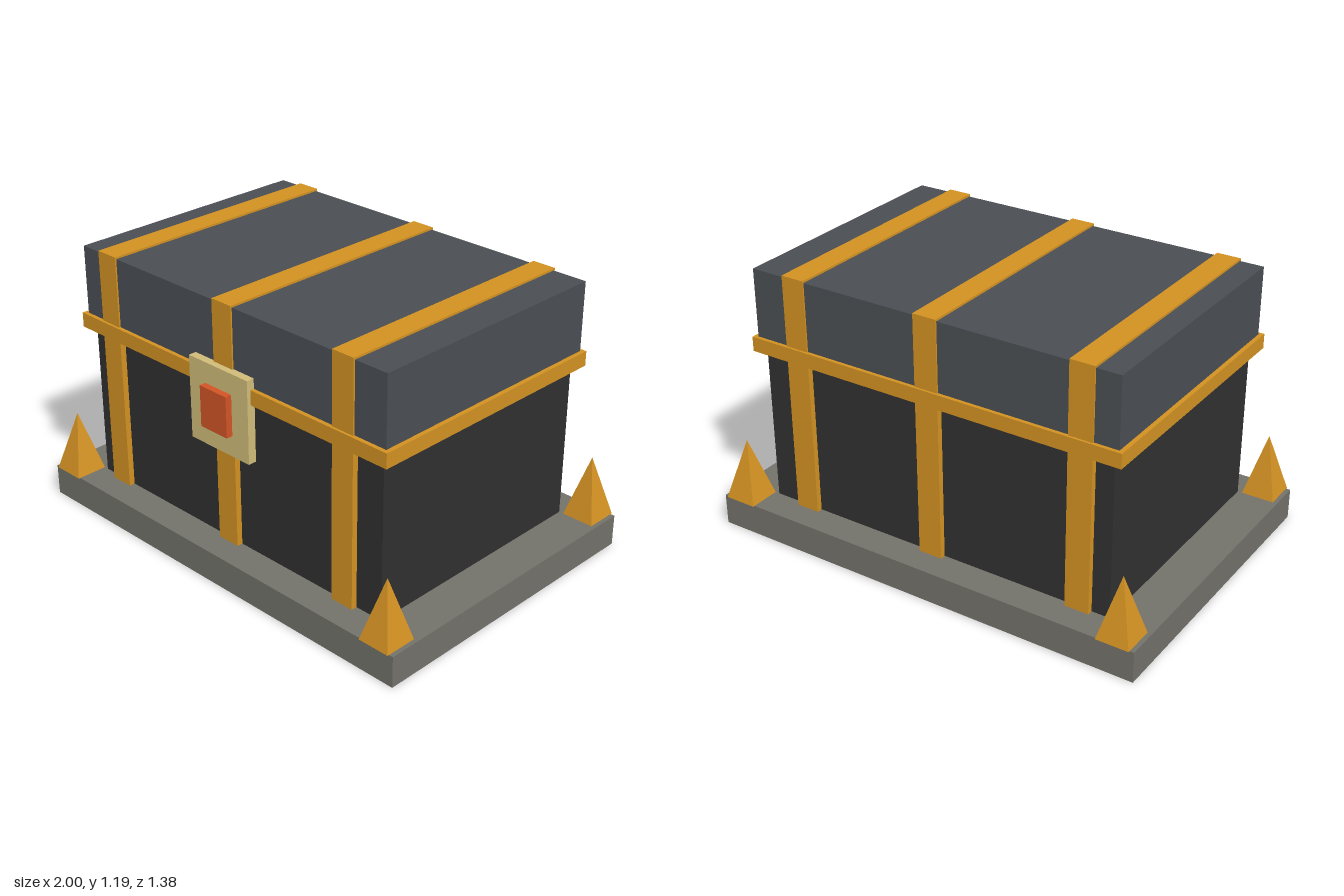
import * as THREE from 'three';

const mat = (name, color) => {
  const m = new THREE.MeshStandardMaterial({ color });
  m.name = name;
  return m;
};

export function createModel() {
  const stone = mat('grey stone', 0x72716a);
  const dark = mat('charcoal', 0x303030);
  const slate = mat('slate', 0x4a4e53);
  const gold = mat('gold', 0xd29122);
  const brass = mat('pale brass', 0xd0bb78);
  const red = mat('red', 0xd25426);

  const group = new THREE.Group();
  group.name = 'chest';

  // Box from its lower and upper corners
  const box = (name, material, [x0, y0, z0], [x1, y1, z1]) => {
    const mesh = new THREE.Mesh(new THREE.BoxGeometry(x1 - x0, y1 - y0, z1 - z0), material);
    mesh.position.set((x0 + x1) / 2, (y0 + y1) / 2, (z0 + z1) / 2);
    mesh.name = name;
    group.add(mesh);
  };

  // Plinth, body, lid and the rim between them
  box('base', stone, [-1, 0, -0.684], [1, 0.137, 0.684]);
  box('body', dark, [-0.817, 0.137, -0.548], [0.817, 0.85, 0.548]);
  box('lid', slate, [-0.843, 0.85, -0.567], [0.843, 1.183, 0.567]);
  box('rim', gold, [-0.862, 0.82, -0.583], [0.862, 0.884, 0.585]);

  // Straps wrapping front, top and back
  for (const x of [-0.685, 0, 0.636]) {
    box('strap', gold, [x - 0.053, 0.137, -0.573], [x + 0.053, 1.192, 0.574]);
  }

  // Lock plate with its raised centre
  box('lockPlate', brass, [-0.165, 0.568, 0.565], [0.165, 0.928, 0.602]);
  box('lockCentre', red, [-0.074, 0.66, 0.595], [0.074, 0.838, 0.631]);

  // Four-sided spikes on the plinth corners
  const spike = new THREE.ConeGeometry(0.072 * Math.SQRT2, 0.268, 4)
    .rotateY(Math.PI / 4).toNonIndexed();
  spike.computeVertexNormals();
  for (const sx of [-1, 1]) {
    for (const sz of [-1, 1]) {
      const mesh = new THREE.Mesh(spike, gold);
      mesh.position.set(sx * 0.909, 0.137 + 0.134, sz * 0.62);
      mesh.name = 'cornerSpike';
      group.add(mesh);
    }
  }
  return group;
}
